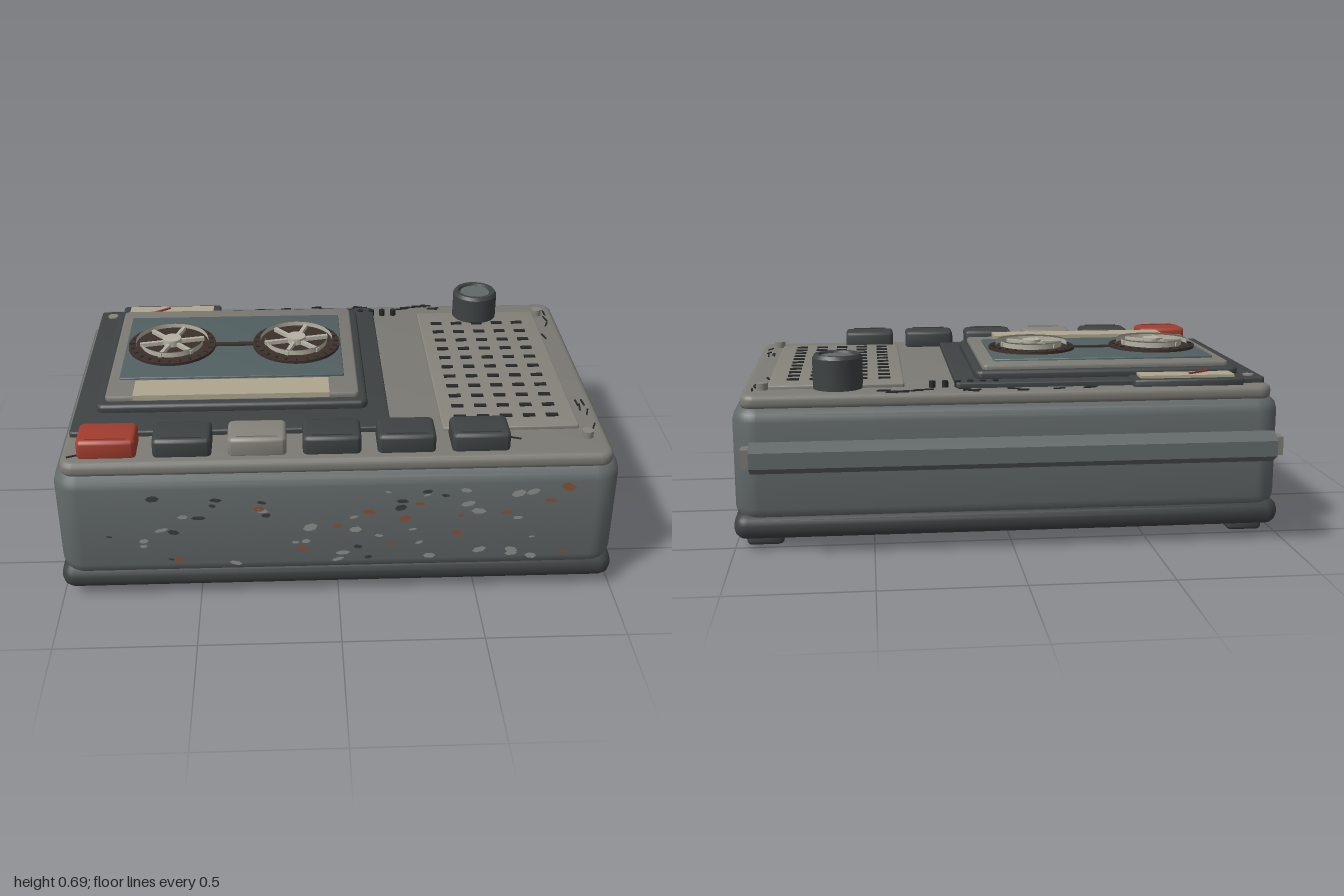
import * as THREE from 'three';
import { toCreasedNormals } from 'three/addons/utils/BufferGeometryUtils.js';

const mats = {};
const paint = (color) => (mats[color] ??= new THREE.MeshStandardMaterial({ color }));
const BODY = 0x626868, DARK = 0x3e4243, PLATE = 0x7b7a74, GRILLE = 0x85837b, CREAM = 0xaea68e,
  RED = 0xa03d2e, GLASS = 0x526061, BROWN = 0x3c2f29, LIGHT = 0xb5b2a4, BLACK = 0x262829;

export function createModel() {
  const model = new THREE.Group();
  model.name = 'cassetteRecorder';

  const add = (name, geometry, color, x = 0, y = 0, z = 0, parent = model) => {
    const mesh = new THREE.Mesh(geometry, paint(color));
    mesh.name = name;
    mesh.position.set(x, y, z);
    parent.add(mesh);
    return mesh;
  };
  const group = (name, x = 0, y = 0, z = 0) => {
    const g = new THREE.Group();
    g.name = name;
    g.position.set(x, y, z);
    model.add(g);
    return g;
  };

  // Bevelled slab lying flat, given by its limits in x, y and z
  const slab = (name, color, [x0, x1], [y0, y1], [z0, z1], r, b, parent = model) => {
    const w = (x1 - x0) / 2 - b, d = (z1 - z0) / 2 - b, c = Math.max(r - b, 0.003);
    const s = new THREE.Shape();
    s.absarc(w - c, d - c, c, 0, Math.PI / 2);
    s.absarc(c - w, d - c, c, Math.PI / 2, Math.PI);
    s.absarc(c - w, c - d, c, Math.PI, Math.PI * 1.5);
    s.absarc(w - c, c - d, c, Math.PI * 1.5, Math.PI * 2);
    const g = new THREE.ExtrudeGeometry(s, {
      depth: y1 - y0 - 2 * b, bevelSize: b, bevelThickness: b, bevelSegments: 3, curveSegments: 5,
    });
    g.translate(0, 0, b).rotateX(-Math.PI / 2);
    return add(name, toCreasedNormals(g, 0.7), color, (x0 + x1) / 2, y0, (z0 + z1) / 2, parent);
  };
  const box = (name, color, [x0, x1], [y0, y1], [z0, z1], parent = model) =>
    add(name, new THREE.BoxGeometry(x1 - x0, y1 - y0, z1 - z0), color,
      (x0 + x1) / 2, (y0 + y1) / 2, (z0 + z1) / 2, parent);
  const disc = (name, color, r, h, x, y, z, parent = model, seg = 24) =>
    add(name, new THREE.CylinderGeometry(r, r, h, seg), color, x, y + h / 2, z, parent);

  // Case: base tray, body, top plate, feet
  slab('base', DARK, [-1, 1], [0.04, 0.135], [-0.555, 0.73], 0.05, 0.04);
  slab('body', BODY, [-0.995, 0.995], [0.1, 0.525], [-0.55, 0.735], 0.09, 0.055);
  slab('topPlate', PLATE, [-0.965, 0.965], [0.51, 0.565], [-0.53, 0.715], 0.05, 0.02);
  for (const x of [-0.895, 0.895]) for (const z of [-0.41, 0.595])
    slab('foot', DARK, [x - 0.067, x + 0.067], [0, 0.045], [z - 0.064, z + 0.064], 0.025, 0.012);

  // Cassette bay and lid
  slab('bayPanel', DARK, [-0.95, 0.195], [0.55, 0.585], [-0.47, 0.53], 0.015, 0.006);
  slab('meterHousing', DARK, [-0.86, -0.45], [0.55, 0.59], [-0.51, -0.38], 0.015, 0.006);
  box('meterFace', CREAM, [-0.83, -0.48], [0.58, 0.6], [-0.48, -0.385]);
  const needle = box('meterNeedle', RED, [-0.062, 0.062], [-0.003, 0.003], [-0.004, 0.004]);
  needle.position.set(-0.715, 0.603, -0.425);
  needle.rotation.y = 0.6;
  slab('lid', DARK, [-0.87, 0.12], [0.575, 0.614], [-0.4, 0.395], 0.03, 0.012);
  slab('cassette', PLATE, [-0.84, 0.09], [0.6, 0.632], [-0.37, 0.36], 0.02, 0.008);
  slab('window', GLASS, [-0.8, 0.04], [0.62, 0.64], [-0.29, 0.23], 0.008, 0.003);
  box('label', CREAM, [-0.735, -0.02], [0.628, 0.648], [0.265, 0.382]);
  box('tape', BROWN, [-0.47, -0.27], [0.636, 0.647], [-0.042, -0.02]);

  // Reels with rim, hub and six spokes
  const rimProfile = [[0.12, 0], [0.12, 0.02], [0.126, 0.026], [0.134, 0.026], [0.141, 0.018], [0.141, 0], [0.12, 0]]
    .map(([r, y]) => new THREE.Vector2(r, y));
  for (const x of [-0.62, -0.135]) {
    const reel = group('reel', x, 0.638, -0.03);
    disc('reelDisc', BROWN, 0.17, 0.013, 0, 0, 0, reel, 36);
    add('reelRim', toCreasedNormals(new THREE.LatheGeometry(rimProfile, 36), 0.5), LIGHT, 0, 0.012, 0, reel);
    disc('reelHub', LIGHT, 0.036, 0.026, 0, 0.012, 0, reel);
    for (let i = 0; i < 6; i++) {
      const spoke = group('spoke');
      reel.add(spoke);
      box('spokeBar', LIGHT, [0.025, 0.125], [0.012, 0.028], [-0.007, 0.007], spoke);
      spoke.rotation.y = (i * Math.PI) / 3 + 0.2;
    }
    for (let i = 0; i < 24; i++) {
      const rib = box('reelRib', BLACK, [-0.008, 0.008], [0.012, 0.016], [-0.003, 0.003], reel);
      const a = (i * Math.PI) / 12;
      rib.position.set(Math.cos(a) * 0.155, 0.014, -Math.sin(a) * 0.155);
      rib.rotation.y = a;
    }
  }

  // Piano keys along the front
  [RED, DARK, GRILLE, DARK, DARK, DARK].forEach((color, i) => {
    const x = -0.803 + i * 0.2606;
    slab('key', color, [x - 0.102, x + 0.102], [0.555, 0.632], [0.537, 0.675], 0.02, 0.014);
    box('keyRidge', color, [x - 0.07, x + 0.07], [0.625, 0.636], [0.651, 0.659]);
  });

  // Speaker grille with rows of slots
  slab('grille', GRILLE, [0.38, 0.872], [0.555, 0.579], [-0.42, 0.535], 0.012, 0.005);
  for (let row = 0; row < 11; row++) for (let col = 0; col < 5; col++) {
    const x = 0.451 + col * 0.084, z = -0.31 + row * 0.077;
    box('grilleSlot', BLACK, [x - 0.022, x + 0.022], [0.57, 0.584], [z - 0.009, z + 0.009]);
  }

  // Volume knob, microphone holes and screws
  const knobProfile = [[0, 0], [0.09, 0], [0.09, 0.112], [0.082, 0.125], [0.068, 0.125], [0.064, 0.115], [0, 0.115]]
    .map(([r, y]) => new THREE.Vector2(r, y));
  add('volumeKnob', toCreasedNormals(new THREE.LatheGeometry(knobProfile, 32), 0.5), DARK, 0.62, 0.565, -0.402);
  disc('knobCap', BODY, 0.06, 0.004, 0.62, 0.679, -0.402);
  for (let i = 0; i < 6; i++) disc('microphoneHole', BLACK, 0.012, 0.025, 0.05 + i * 0.046, 0.564, -0.437, model, 10);
  for (const [x, z] of [[-0.9, -0.418], [0.89, -0.418], [0.89, 0.588]])
    disc('screw', GRILLE, 0.021, 0.03, x, 0.56, z, model, 12);

  // Carrying handle: six-sided bar on two stubs
  const bar = add('handleBar', new THREE.CylinderGeometry(0.056, 0.056, 1.84, 6).toNonIndexed(), BODY, 0, 0.376, -0.683);
  bar.geometry.computeVertexNormals();
  bar.rotation.set(Math.PI / 6, 0, Math.PI / 2, 'ZXY');
  bar.rotation.set(0, 0, Math.PI / 2);
  bar.geometry.rotateY(Math.PI / 2);
  for (const side of [-1, 1]) {
    const arm = add('handleArm', new THREE.CylinderGeometry(0.042, 0.042, 0.18, 6).toNonIndexed(),
      PLATE, side * 0.915, 0.365, -0.6);
    arm.geometry.computeVertexNormals();
    arm.rotation.x = -Math.PI / 2 + 0.15;
    arm.scale.x = 0.85;
    box('handleElbow', PLATE, [side * 0.92 - 0.03, side * 0.92 + 0.03], [0.345, 0.41], [-0.7, -0.64]);
  }

  // Wear: paint chips on the front, scratches round the top plate
  let seed = 7;
  const rand = () => (seed = (seed * 16807) % 2147483647) / 2147483647;
  const chipColors = [0x8f928f, 0x8a5234, 0x3a3d3e, 0x8f928f];
  for (let i = 0; i < 60; i++) {
    const chip = add('paintChip', new THREE.CircleGeometry(0.012 + rand() * 0.016, 6), chipColors[i % 4],
      (rand() * 2 - 1) * 0.82, 0.15 + rand() * 0.31, 0.7365);
    chip.scale.y = 0.3 + rand() * 0.3;
    chip.rotation.z = (rand() - 0.5) * 0.6;
  }
  const scratch = (x, z, angle) => {
    const s = box('scratch', BLACK, [-0.022, 0.022], [0, 0.006], [-0.003, 0.003]);
    s.position.set(x, 0.566, z);
    s.rotation.y = angle;
  };
  for (let i = 0; i < 18; i++) scratch(-0.4 + rand() * 0.9, -0.52 + rand() * 0.05, (rand() - 0.5) * 0.6);
  for (let i = 0; i < 9; i++) scratch(0.88 + rand() * 0.05, -0.48 + rand() * 1.05, 1.5 + (rand() - 0.5) * 0.7);
  for (let i = 0; i < 6; i++) scratch(-0.92 + i * 0.31, 0.57 + rand() * 0.1, (rand() - 0.5) * 0.8);

  return model;
}
